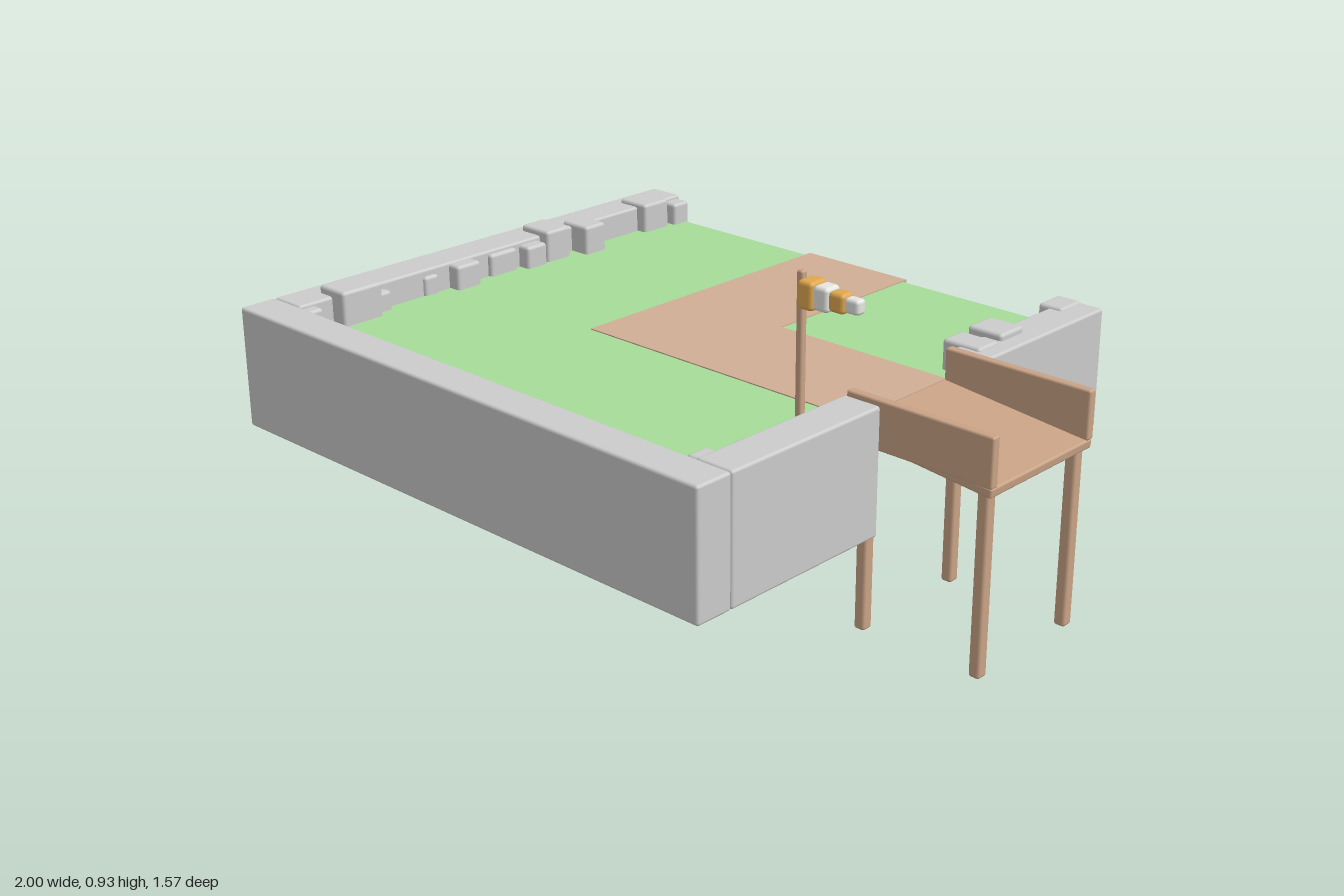
import * as THREE from 'three';
import { RoundedBoxGeometry } from 'three/addons/geometries/RoundedBoxGeometry.js';

const mat = (color) => new THREE.MeshStandardMaterial({ color });

export function createModel() {
  const model = new THREE.Group();
  const stone = mat(0xcccccc), grass = mat(0xa6dc9a), dirt = mat(0xd0ae94);
  const wood = mat(0xc9a386), orange = mat(0xe0a850), white = mat(0xe6e6e2);

  // Bevelled block given by its extents on each axis
  const block = (name, material, [x0, x1], [y0, y1], [z0, z1], bevel = 0.008, parent = model) => {
    const w = x1 - x0, h = y1 - y0, d = z1 - z0;
    const r = Math.min(bevel, w * 0.3, h * 0.3, d * 0.3);
    const geo = bevel > 0 ? new RoundedBoxGeometry(w, h, d, 2, r) : new THREE.BoxGeometry(w, h, d);
    const mesh = new THREE.Mesh(geo, material);
    mesh.name = name;
    mesh.position.set((x0 + x1) / 2, (y0 + y1) / 2, (z0 + z1) / 2);
    parent.add(mesh);
    return mesh;
  };

  // Stone walls, with a gap on the left side for the bridge
  const wallY = [0.28, 0.62];
  block('frontWall', stone, [-1, 0.68], wallY, [0.67, 0.78]);
  block('rightWall', stone, [-1, -0.89], wallY, [-0.785, 0.67]);
  block('leftWallRear', stone, [0.57, 0.68], wallY, [-0.785, -0.27]);
  block('leftWallFront', stone, [0.57, 0.68], wallY, [0.155, 0.67]);

  // Grass slab and the L-shaped dirt path
  block('grass', grass, [-0.9, 0.575], [0.46, 0.545], [-0.78, 0.68], 0.015);
  const pathY = [0.54, 0.548];
  block('pathLong', dirt, [-0.345, 0.02], pathY, [-0.785, 0.12], 0);
  block('pathToBridge', dirt, [0.02, 0.575], pathY, [-0.24, 0.12], 0);

  // Rocks along both side walls: x0, x1, z0, z1, top
  const rocks = new THREE.Group();
  rocks.name = 'rocks';
  model.add(rocks);
  [
    [-0.93, -0.845, -0.78, -0.717, 0.61], [-0.965, -0.855, -0.7, -0.597, 0.632],
    [-0.93, -0.825, -0.4, -0.32, 0.63], [-0.97, -0.855, -0.283, -0.192, 0.638],
    [-0.93, -0.85, -0.185, -0.11, 0.61], [-0.93, -0.875, -0.09, 0.01, 0.61],
    [-0.93, -0.85, 0.07, 0.155, 0.615], [-0.92, -0.88, 0.2, 0.25, 0.6],
    [-0.93, -0.865, 0.38, 0.425, 0.6], [-0.947, -0.84, 0.43, 0.562, 0.642],
    [-0.93, -0.857, 0.615, 0.668, 0.61],
    [0.54, 0.615, -0.78, -0.685, 0.627], [0.537, 0.61, -0.63, -0.555, 0.6],
    [0.525, 0.632, -0.488, -0.39, 0.638], [0.52, 0.637, -0.373, -0.29, 0.628],
    [0.545, 0.6, 0.16, 0.245, 0.6], [0.55, 0.6, 0.31, 0.395, 0.6],
    [0.535, 0.6, 0.475, 0.525, 0.6], [0.525, 0.6, 0.59, 0.655, 0.61],
  ].forEach(([x0, x1, z0, z1, top]) => block('rock', stone, [x0, x1], [0.51, top], [z0, z1], 0.01, rocks));

  // Wooden bridge: sloping deck, two railings, four legs
  const bridge = new THREE.Group();
  bridge.name = 'bridge';
  model.add(bridge);
  const deck = block('deck', wood, [0.565, 1], [0.498, 0.524], [-0.26, 0.15], 0.006, bridge);
  deck.rotation.z = -0.1;
  for (const z of [0.138, -0.25]) {
    block('railing', wood, [0.57, 1], [0.5, 0.63], [z - 0.013, z + 0.013], 0.006, bridge);
  }
  for (const x of [0.62, 0.97]) {
    for (const z of [0.125, -0.23]) {
      block('leg', wood, [x - 0.016, x + 0.016], [0, 0.5], [z - 0.017, z + 0.017], 0.008, bridge);
    }
  }

  // Windsock on a pole: striped segments tapering away from it
  const windsock = new THREE.Group();
  windsock.name = 'windsock';
  model.add(windsock);
  block('pole', wood, [0.475, 0.495], [0.5, 0.928], [0.21, 0.23], 0.006, windsock);
  [[0.493, 0.54, 0.036, 0.03], [0.538, 0.583, 0.031, 0.026], [0.58, 0.627, 0.025, 0.021], [0.624, 0.667, 0.019, 0.016]]
    .forEach(([x0, x1, hy, hz], i) => block('sockSegment', i % 2 ? white : orange,
      [x0, x1], [0.877 - hy, 0.877 + hy], [0.22 - hz, 0.22 + hz], 0.011, windsock));

  return model;
}
